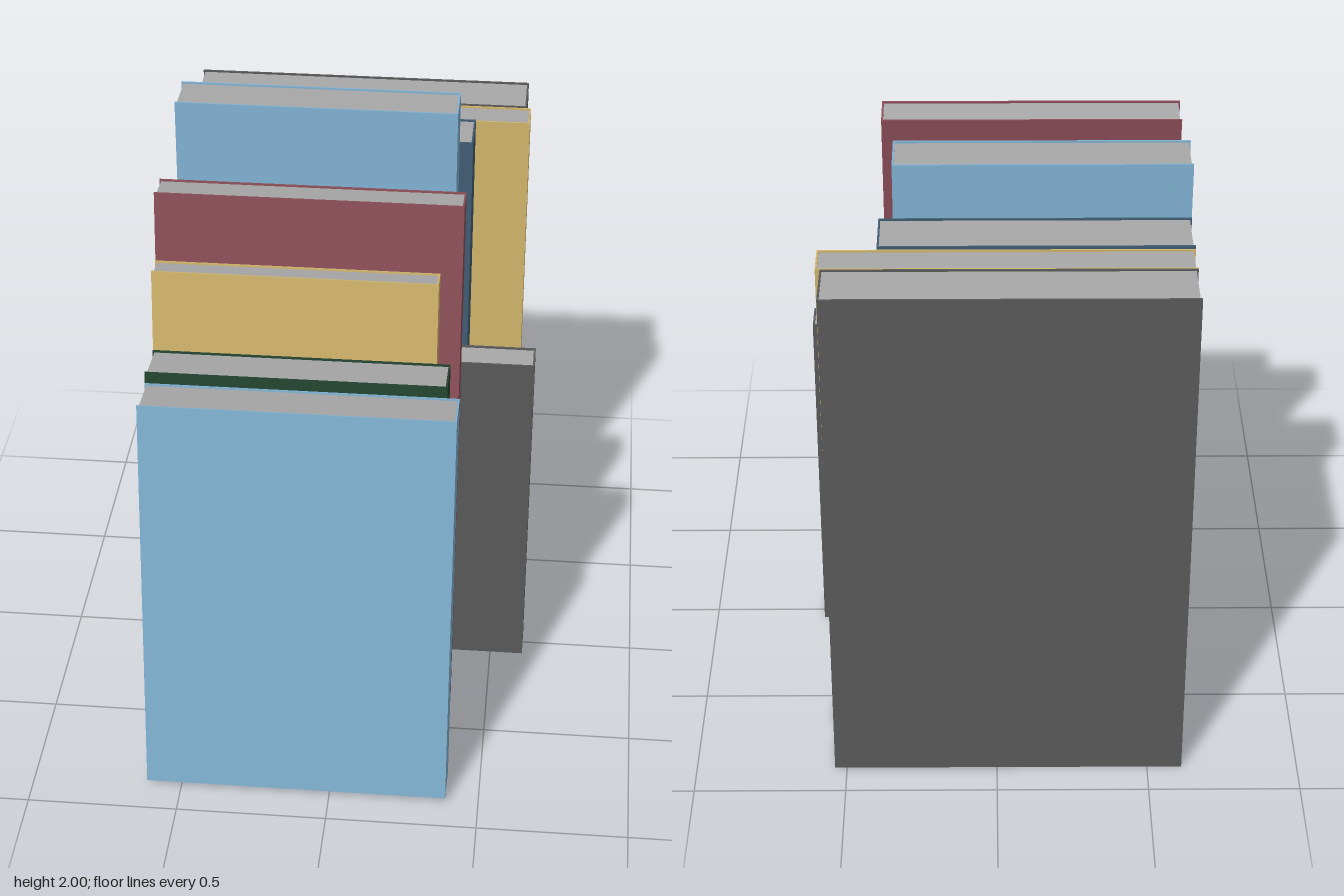
import * as THREE from 'three';

const paint = (name, color) => {
  const m = new THREE.MeshStandardMaterial({ color });
  m.name = name;
  return m;
};

const BACK = -0.615;   // shared x of the page-side edges
const BOARD = 0.006;   // cover thickness
const INSET = 0.006;   // how far the pages sit inside the cover

function box(name, material, w, h, d, x, y, z) {
  const mesh = new THREE.Mesh(new THREE.BoxGeometry(w, h, d), material);
  mesh.name = name;
  mesh.position.set(x, y, z);
  return mesh;
}

// A book standing on its rear bottom edge (z = 0), spine towards +x
function makeBook(name, cover, paper, width, height, thick) {
  const book = new THREE.Group();
  book.name = name;
  const inner = thick - 2 * BOARD;
  const pageW = width - BOARD - INSET;
  book.add(
    box('backCover', cover, width, height, BOARD, width / 2, height / 2, BOARD / 2),
    box('frontCover', cover, width, height, BOARD, width / 2, height / 2, thick - BOARD / 2),
    box('spine', cover, BOARD, height, inner, width - BOARD / 2, height / 2, thick / 2),
    box('pages', paper, pageW, height - 2 * INSET, inner, INSET + pageW / 2, height / 2, thick / 2)
  );
  return book;
}

export function createModel() {
  const paper = paint('paper', 0xa8a8a8);
  const sky = paint('sky blue', 0x80b2d3);
  const green = paint('dark green', 0x23432e);
  const yellow = paint('straw yellow', 0xd1b56b);
  const red = paint('dusty red', 0x8c4f58);
  const orange = paint('orange', 0xcf742e);
  const grey = paint('charcoal', 0x5a5a5a);
  const brown = paint('dark brown', 0x3d220f);
  const navy = paint('slate blue', 0x415c73);

  // name, cover, spine x, height, thickness, z of rear bottom edge, lean in degrees
  const books = [
    ['skyBookFront', sky, 0.39, 1.413, 0.163, 0.724, 6.5],
    ['greenBook', green, 0.35, 1.43, 0.166, 0.554, 6.5],
    ['yellowBookFront', yellow, 0.305, 1.694, 0.088, 0.459, 6.5],
    ['redBook', red, 0.375, 1.914, 0.12, 0.337, 6.5],
    ['orangeBook', orange, 0.34, 1.222, 0.125, 0.209, 6.5],
    ['charcoalBookMiddle', grey, 0.615, 1.223, 0.114, -0.048, 0],
    ['brownBook', brown, 0.29, 1.176, 0.133, -0.184, 1.15],
    ['skyBookTall', sky, 0.325, 1.998, 0.164, -0.35, 1.15],
    ['slateBook', navy, 0.37, 1.808, 0.18, -0.533, 1.15],
    ['yellowBookRear', yellow, 0.555, 1.798, 0.119, -0.656, 1.15],
    ['charcoalBookRear', grey, 0.54, 1.8, 0.188, -0.884, 0]
  ];

  const model = new THREE.Group();
  model.name = 'bookRow';
  for (const [name, cover, spineX, height, thick, z, lean] of books) {
    const book = makeBook(name, cover, paper, spineX - BACK, height, thick);
    book.position.set(BACK, 0, z);
    book.rotation.x = -THREE.MathUtils.degToRad(lean);
    model.add(book);
  }
  return model;
}
